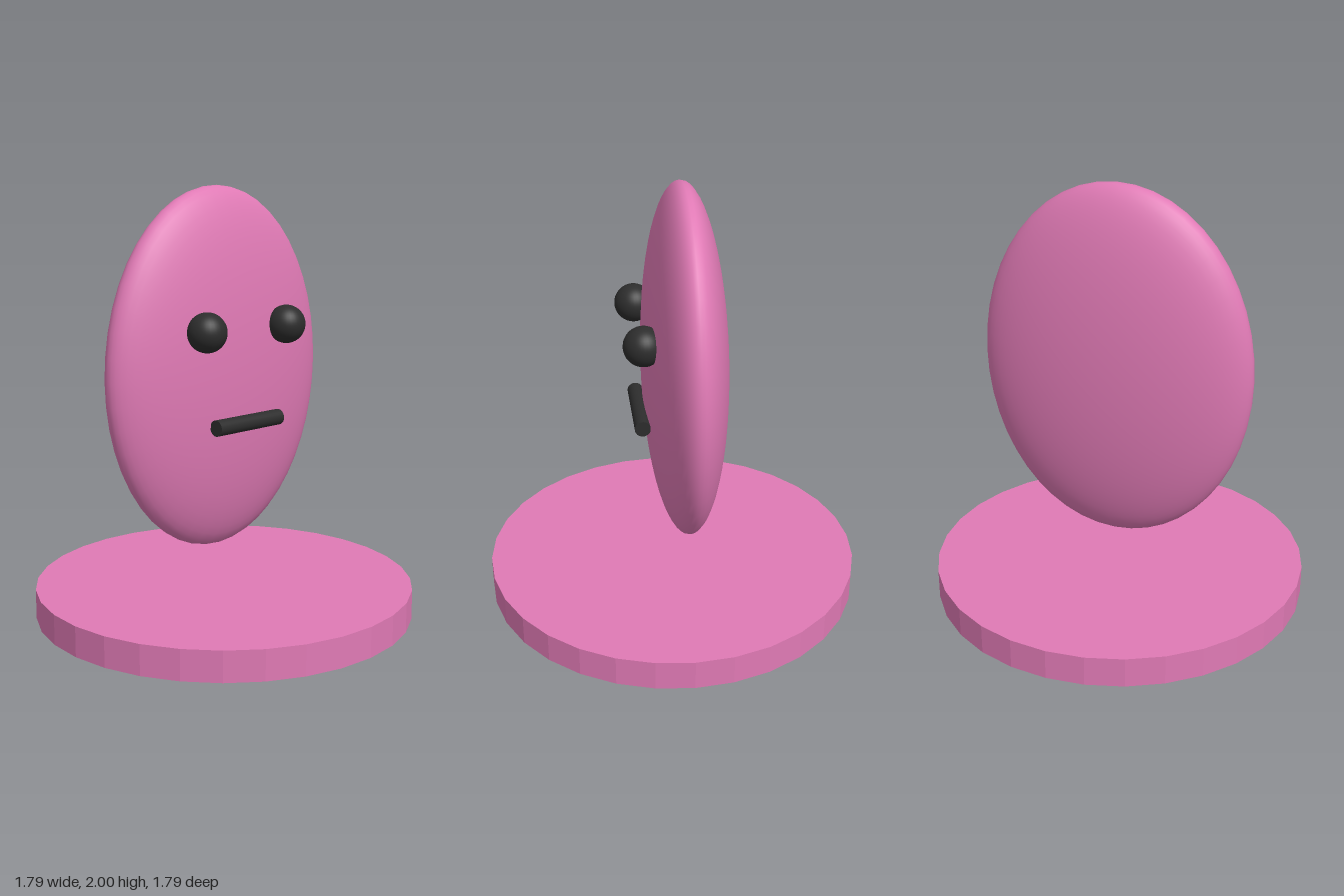
import * as THREE from 'three';

export function createModel() {
  const model = new THREE.Group();
  const pink = new THREE.MeshStandardMaterial({ color: 0xe07ab5 });
  pink.name = 'pink';
  const black = new THREE.MeshStandardMaterial({ color: 0x2d2d2d });
  black.name = 'black';

  const add = (name, geometry, material, x, y, z) => {
    const mesh = new THREE.Mesh(geometry, material);
    mesh.name = name;
    mesh.position.set(x, y, z);
    model.add(mesh);
    return mesh;
  };

  // Faceted round base: unshared vertices give each side panel its own normal
  const disc = new THREE.CylinderGeometry(0.895, 0.895, 0.14, 32).toNonIndexed();
  disc.computeVertexNormals();
  add('base', disc, pink, 0, 0.07, 0);

  // Flattened egg-shaped head floating over the base, poles facing front and back
  const egg = new THREE.SphereGeometry(1, 48, 32);
  egg.rotateX(Math.PI / 2);
  egg.scale(0.653, 0.845, 0.19);
  add('head', egg, pink, 0, 1.155, -0.05);

  // Eyes
  const eye = new THREE.SphereGeometry(0.09, 32, 24);
  for (const [name, side] of [['leftEye', 1], ['rightEye', -1]]) {
    add(name, eye, black, side * 0.257, 1.36, 0.155);
  }

  // Straight mouth bar
  const bar = new THREE.CylinderGeometry(0.037, 0.037, 0.41, 24);
  bar.rotateZ(Math.PI / 2);
  add('mouth', bar, black, 0, 0.925, 0.157);

  return model;
}
